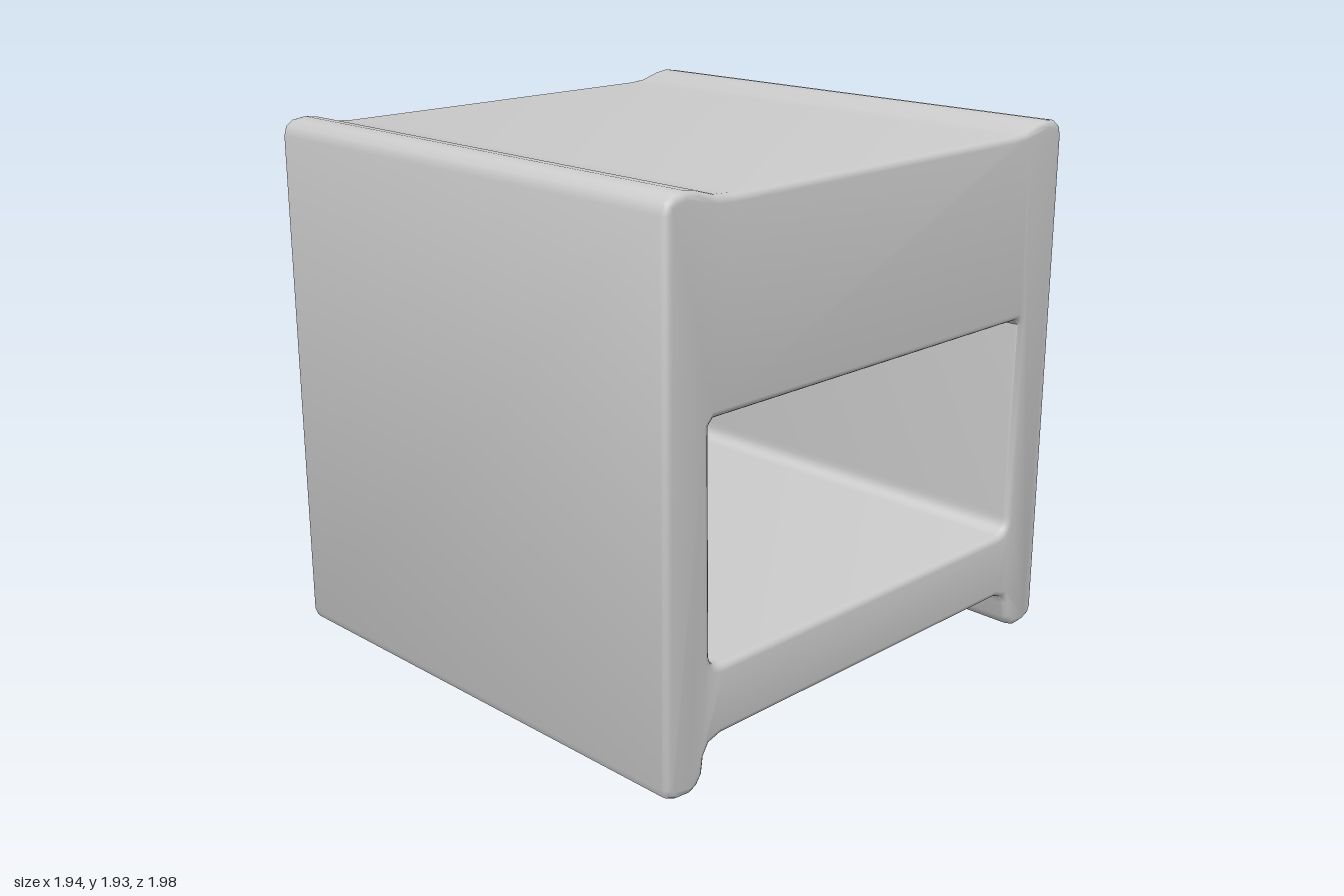
import * as THREE from 'three';
import { toCreasedNormals } from 'three/addons/utils/BufferGeometryUtils.js';

// Half of the side outline (z, y), from the underside centre up to the top centre
const LEG = [[0.74, 0.16], [0.79, 0.145], [0.812, 0.11], [0.82, 0.05], [0.845, 0.015], [0.88, 0],
  [0.94, 0.005], [0.975, 0.02], [0.988, 0.05]];
const LIP = [[0.988, 1.87], [0.978, 1.905], [0.95, 1.925], [0.9, 1.932], [0.85, 1.925], [0.77, 1.902], [0.7, 1.897]];

function bodyShape() {
  const half = [...LEG, ...LIP];
  const mirrored = half.map(([z, y]) => [-z, y]).reverse();
  const shape = new THREE.Shape([...half, ...mirrored].map(([z, y]) => new THREE.Vector2(z, y)));

  // Compartment opening: rounded at the floor, nearly square at the ceiling
  const w = 0.8, b = 0.405, t = 1.225, r = 0.07, s = 0.02;
  const hole = new THREE.Path();
  hole.moveTo(-w + r, b);
  hole.quadraticCurveTo(-w, b, -w + 0.01, b + r);
  hole.lineTo(-w, t - s);
  hole.lineTo(-w + s, t);
  hole.lineTo(w - s, t);
  hole.lineTo(w, t - s);
  hole.lineTo(w - 0.01, b + r);
  hole.quadraticCurveTo(w, b, w - r, b);
  hole.closePath();
  shape.holes.push(hole);
  return shape;
}

export function createModel() {
  const group = new THREE.Group();
  group.name = 'bedsideCabinet';
  const material = new THREE.MeshStandardMaterial({ color: 0xcccccc });
  const left = -0.967, right = 0.967, bevel = 0.025;

  // Carcass: side panels, top block, shelf and feet in one softened extrusion
  const geo = new THREE.ExtrudeGeometry(bodyShape(), {
    depth: right - left - 2 * bevel,
    bevelEnabled: true, bevelThickness: bevel, bevelSize: bevel, bevelOffset: -bevel,
    bevelSegments: 4, curveSegments: 6,
  });
  geo.translate(0, 0, left + bevel);
  geo.rotateY(Math.PI / 2);
  const carcass = new THREE.Mesh(toCreasedNormals(geo, 0.7), material);
  carcass.name = 'carcass';
  group.add(carcass);

  // Closing panel at the far end of the compartment, reaching down between the feet
  const thick = 0.15, bottom = 0.025, top = 1.7;
  const panel = new THREE.Mesh(new THREE.BoxGeometry(thick, top - bottom, 1.8), material);
  panel.position.set(left - 0.002 + thick / 2, (top + bottom) / 2, 0);
  panel.name = 'closingPanel';
  group.add(panel);

  return group;
}
